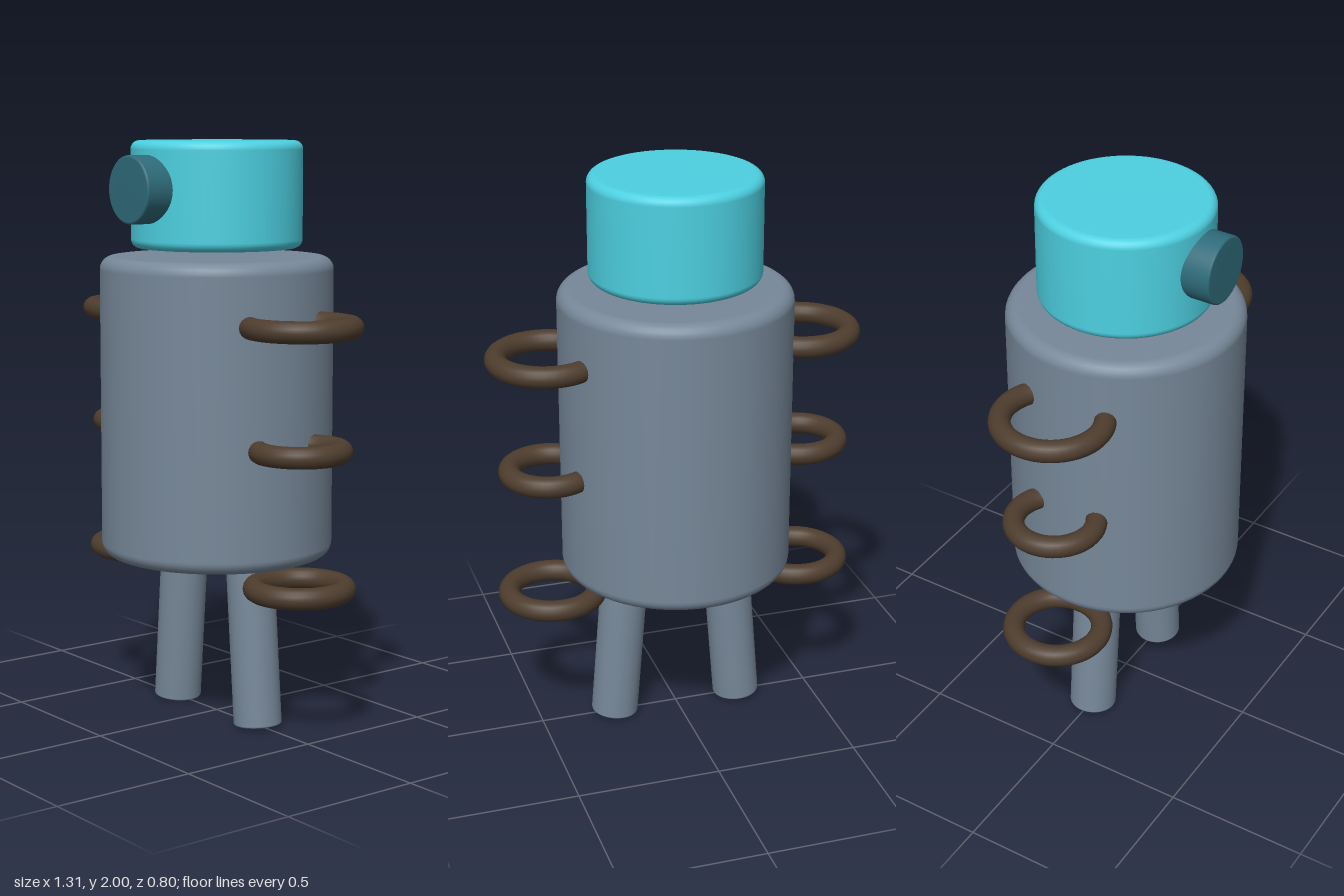
import * as THREE from 'three';

const mat = (color) => new THREE.MeshStandardMaterial({ color });

// Upright cylinder with rounded rims, centred on the origin
function roundedCylinder(radius, height, bevel, steps = 6) {
  const h = height / 2;
  const pts = [new THREE.Vector2(0, -h)];
  for (const [cy, start] of [[-h + bevel, -Math.PI / 2], [h - bevel, 0]]) {
    for (let i = 0; i <= steps; i++) {
      const a = start + (i / steps) * Math.PI / 2;
      pts.push(new THREE.Vector2(radius - bevel + bevel * Math.cos(a), cy + bevel * Math.sin(a)));
    }
  }
  pts.push(new THREE.Vector2(0, h));
  return new THREE.LatheGeometry(pts, 64);
}

export function createModel() {
  const group = new THREE.Group();
  const grey = mat(0x778899);
  const teal = mat(0x4dd0e1);
  const darkTeal = mat(0x2f6b7a);
  const brown = mat(0x4e3d2e);

  function add(name, geometry, material, x, y, z) {
    const mesh = new THREE.Mesh(geometry, material);
    mesh.name = name;
    mesh.position.set(x, y, z);
    group.add(mesh);
    return mesh;
  }

  // Body and the head hovering just above it
  add('body', roundedCylinder(0.4, 1.035, 0.045), grey, 0, 1.0925, 0);
  add('head', roundedCylinder(0.293, 0.363, 0.03), teal, 0, 1.8185, 0);

  // Single round eye on the front of the head
  add('eye', roundedCylinder(0.114, 0.11, 0.008, 3), darkTeal, 0, 1.84, 0.315).rotation.x = Math.PI / 2;

  // Splayed legs, and three horizontal rings down each side
  const legGeometry = roundedCylinder(0.083, 0.64, 0.006, 2);
  const rings = [['upperRing', 1.4, 0.17], ['middleRing', 0.99, 0.138], ['lowerRing', 0.527, 0.152]];
  for (const [side, s] of [['left', 1], ['right', -1]]) {
    add(side + 'Leg', legGeometry, grey, s * 0.206, 0.327, 0).rotation.z = s * 0.08;
    for (const [name, y, radius] of rings) {
      const geometry = new THREE.TorusGeometry(radius, 0.037, 16, 48);
      add(side + '_' + name, geometry, brown, s * 0.45, y, 0).rotation.x = Math.PI / 2;
    }
  }
  return group;
}
